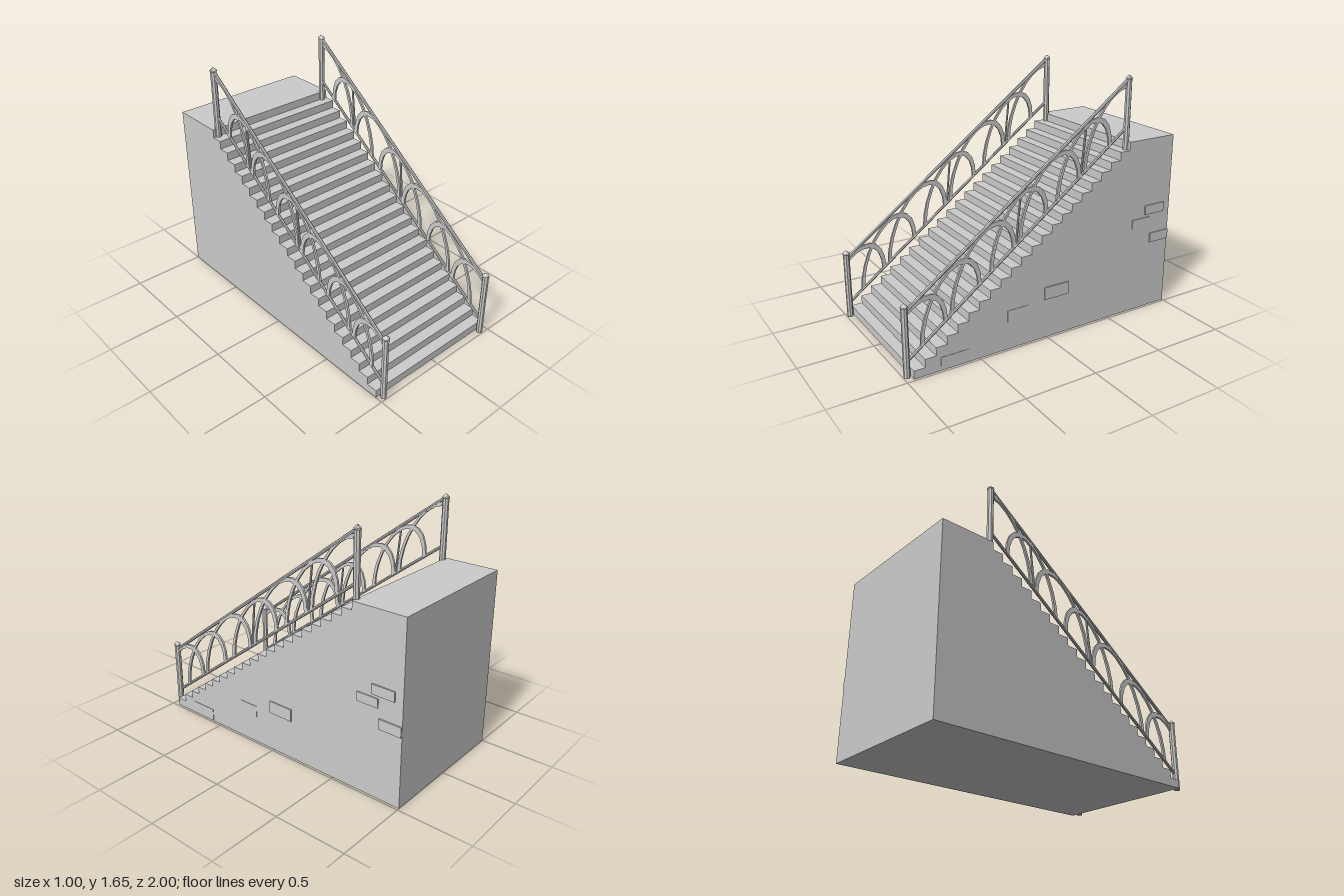
import * as THREE from 'three';

const mat = new THREE.MeshStandardMaterial({ color: 0xcccccc, flatShading: true });
const STEPS = 21, RISE = 0.0553, RUN = 0.0752, FRONT = 0.95, BACK = -1;
const LEFT = 0.485, RIGHT = -0.5;

// height of the lower rail above any z
const railY = z => 0.107 + (0.968 - z) * 0.7537;

function add(parent, geometry, name) {
  const mesh = new THREE.Mesh(geometry, mat);
  mesh.name = name;
  parent.add(mesh);
  return mesh;
}

// extrude a side profile drawn in (-z, y) across x, centred on x = 0
function sideExtrude(points, width) {
  const shape = new THREE.Shape(points.map(([z, y]) => new THREE.Vector2(-z, y)));
  const g = new THREE.ExtrudeGeometry(shape, { depth: width, bevelEnabled: false });
  g.translate(0, 0, -width / 2);
  g.rotateY(Math.PI / 2);
  return g;
}

// solid staircase with a landing at the back
function staircase() {
  const pts = [[BACK, 0], [FRONT, 0]];
  for (let i = 0; i <= STEPS; i++) {
    const z = FRONT - i * RUN;
    pts.push([z, (i + 1) * RISE], [i < STEPS ? z - RUN : BACK, (i + 1) * RISE]);
  }
  const g = sideExtrude(pts, LEFT - RIGHT);
  g.translate((LEFT + RIGHT) / 2, 0, 0);
  return g;
}

// flat half-ellipse band, sheared to follow the slope; angles in degrees
function archBand(zMid, a, h, from = 0, to = 180) {
  const t = 0.024, n = Math.max(4, Math.round((to - from) / 15));
  const outer = [], inner = [];
  for (let i = 0; i <= n; i++) {
    const ang = THREE.MathUtils.degToRad(from + (to - from) * i / n);
    const at = (ra, rh) => {
      const z = zMid - ra * Math.cos(ang);
      return [z, railY(z) + rh * Math.sin(ang)];
    };
    outer.push(at(a, h));
    inner.unshift(at(a - t, h - t));
  }
  return sideExtrude([...outer, ...inner], 0.014);
}

// straight bar between two (z, y) points
function bar([z0, y0], [z1, y1], r) {
  const g = new THREE.CylinderGeometry(r, r, Math.hypot(z1 - z0, y1 - y0), 8);
  g.rotateX(Math.atan2(z1 - z0, y1 - y0));
  g.translate(0, (y0 + y1) / 2, (z0 + z1) / 2);
  return g;
}

function post(z, base) {
  const profile = [[0, 0], [0.021, 0], [0.021, 0.455], [0.024, 0.46], [0.022, 0.468], [0, 0.487]];
  const g = new THREE.LatheGeometry(profile.map(p => new THREE.Vector2(...p)), 8, Math.PI / 8);
  g.translate(0, base, z);
  return g;
}

function railing() {
  const g = new THREE.Group();
  add(g, post(0.976, 0), 'frontPost');
  add(g, post(-0.627, 1.16), 'backPost');
  add(g, bar([0.976, 0.101], [-0.627, 1.309], 0.01), 'lowerRail');
  add(g, bar([0.976, 0.425], [-0.627, 1.622], 0.011), 'handrail');
  // inner arches
  for (let i = 0; i < 3; i++) add(g, archBand(0.672 - i * 0.482, 0.211, 0.307), 'arch');
  // tall arches between them, cut off by the end posts
  for (let i = 0; i < 4; i++) {
    const from = i === 3 ? 66 : 0, to = i === 0 ? 100 : 180;
    add(g, archBand(0.929 - i * 0.482, 0.232, 0.322, from, to), 'tallArch');
  }
  // slim struts in the upper two valleys
  for (const z of [0.213, -0.269]) {
    add(g, bar([z, railY(z)], [z - 0.033, railY(z) + 0.32], 0.007), 'strut');
  }
  return g;
}

export function createModel() {
  const model = new THREE.Group();
  add(model, staircase(), 'staircase');

  for (const [name, x] of [['leftRailing', 0.441], ['rightRailing', -0.461]]) {
    const r = railing();
    r.name = name;
    r.position.x = x;
    model.add(r);
  }

  // bricks standing slightly proud of the left wall: z0, z1, y0, y1, depth
  const bricks = [
    [-0.945, -0.784, 0.69, 0.755, 0.01],
    [-0.83, -0.68, 0.61, 0.67, 0.007],
    [-0.998, -0.84, 0.48, 0.547, 0.01],
    [-0.16, 0.024, 0.273, 0.358, 0.008],
    [0.15, 0.30, 0.19, 0.27, 0.003],
    [0.58, 0.77, 0.004, 0.09, 0.003],
  ];
  for (const [z0, z1, y0, y1, d] of bricks) {
    const b = add(model, new THREE.BoxGeometry(0.02 + d, y1 - y0, z1 - z0), 'brick');
    b.position.set(LEFT + (d - 0.02) / 2, (y0 + y1) / 2, (z0 + z1) / 2);
  }
  return model;
}
